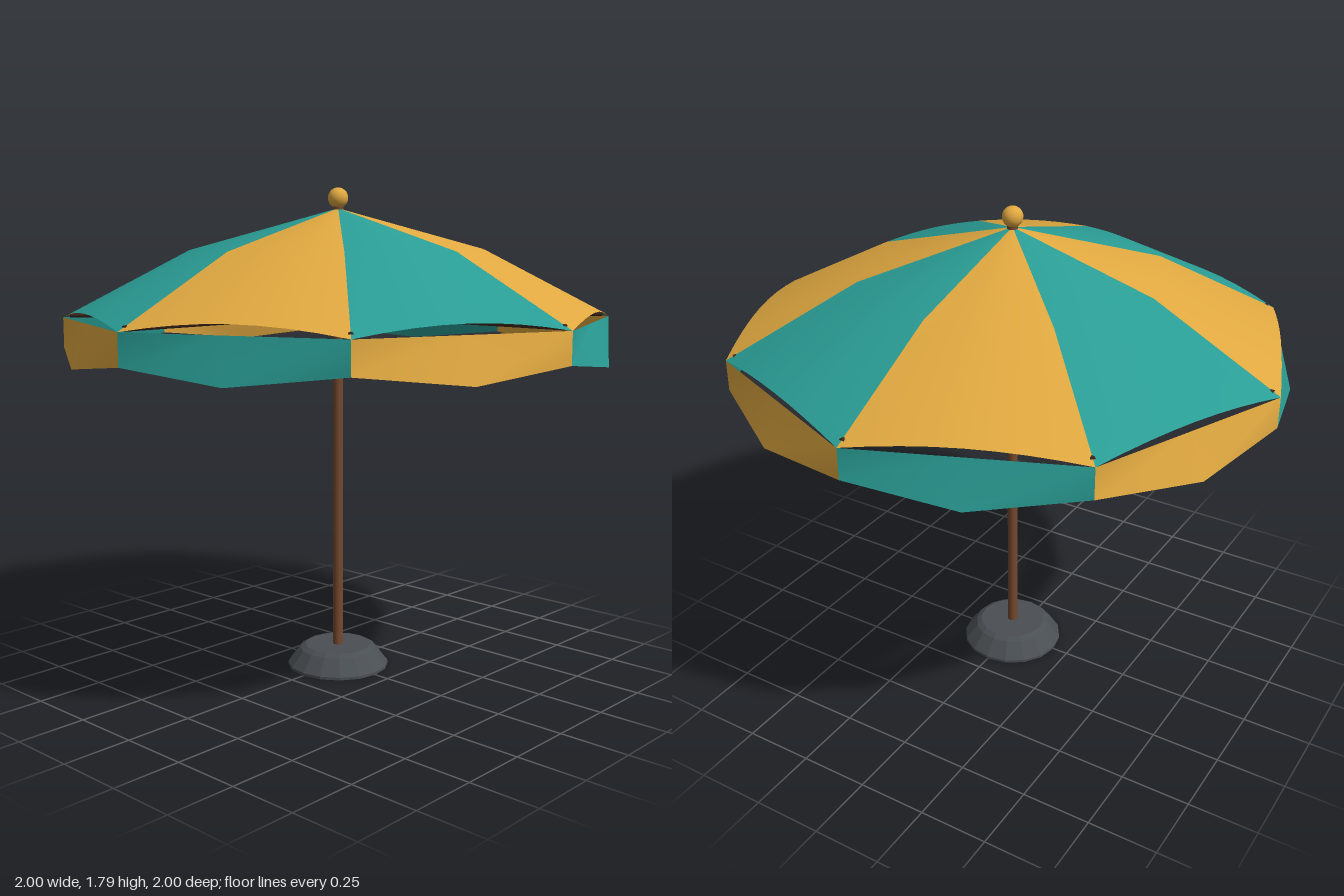
import * as THREE from 'three';

const SIDES = 8;
const STEP = (Math.PI * 2) / SIDES;

// Surface spanning one canopy sector: point(u, row) -> [radius, y], u runs 0..1 across the sector
function sectorGeometry(start, cols, rows, point) {
  const pos = [], index = [];
  for (let r = 0; r < rows; r++) {
    for (let c = 0; c <= cols; c++) {
      const u = c / cols;
      const a = start + u * STEP;
      const [radius, y] = point(u, r);
      pos.push(Math.sin(a) * radius, y, Math.cos(a) * radius);
    }
  }
  const w = cols + 1;
  for (let r = 0; r < rows - 1; r++) {
    for (let c = 0; c < cols; c++) {
      const a = r * w + c;
      index.push(a, a + w, a + 1, a + 1, a + w, a + w + 1);
    }
  }
  const geo = new THREE.BufferGeometry();
  geo.setAttribute('position', new THREE.Float32BufferAttribute(pos, 3));
  geo.setIndex(index);
  geo.computeVertexNormals();
  return geo;
}

// Radius factor that keeps a point on the straight line between two ribs
const chord = (u) => Math.cos(STEP / 2) / Math.cos((u - 0.5) * STEP);

export function createModel() {
  const group = new THREE.Group();
  const mat = (name, color, side = THREE.FrontSide) => {
    const m = new THREE.MeshStandardMaterial({ color, side });
    m.name = name;
    return m;
  };
  const yellow = mat('yellow fabric', 0xe0a840, THREE.DoubleSide);
  const teal = mat('teal fabric', 0x2a9d95, THREE.DoubleSide);
  const wood = mat('brown wood', 0x74492f);
  const darkWood = mat('dark rib wood', 0x432a1e);
  const iron = mat('grey base', 0x4a4f54);

  const add = (name, geo, material, y = 0) => {
    const mesh = new THREE.Mesh(geo, material);
    mesh.name = name;
    mesh.position.y = y;
    group.add(mesh);
    return mesh;
  };

  // Weighted foot
  const footProfile = [[0, 0], [0.19, 0], [0.19, 0.01], [0.145, 0.068], [0.125, 0.08], [0, 0.08]];
  const foot = new THREE.LatheGeometry(footProfile.map(([x, y]) => new THREE.Vector2(x, y)), 16);
  const flatFoot = foot.toNonIndexed();
  flatFoot.computeVertexNormals();
  add('base', flatFoot, iron);

  // Pole and finial ball
  add('pole', new THREE.CylinderGeometry(0.019, 0.019, 1.66, 16), wood, 0.9);
  add('finial', new THREE.SphereGeometry(0.037, 20, 14), yellow, 1.753);

  // Canopy rows: tip, bend, rim
  const rows = [[0.004, 1.715], [0.54, 1.566], [1, 1.325]];
  const lift = [0, 0.012, 0.035];
  const bulge = [0, 0.005, 0.01];

  for (let k = 0; k < SIDES; k++) {
    const start = k * STEP;

    // Fabric panel with an arched rim
    const panel = sectorGeometry(start, 8, 3, (u, r) => {
      const arch = 4 * u * (1 - u);
      return [rows[r][0] * chord(u) + bulge[r] * arch, rows[r][1] + lift[r] * arch];
    });
    add('canopyPanel', panel, k % 2 ? teal : yellow);

    // Hanging valance in the opposite colour, pointed at the middle
    const valance = sectorGeometry(start, 2, 2, (u, r) => {
      const middle = u === 0.5;
      if (r === 0) return [chord(u), 1.325];
      return middle ? [0.985, 1.175] : [1, 1.215];
    });
    add('valance', valance, k % 2 ? yellow : teal);

    // Horizontal rib reaching the rim
    const ribGeo = new THREE.CylinderGeometry(0.01, 0.01, 0.975, 8);
    ribGeo.rotateX(Math.PI / 2);
    ribGeo.translate(0, 0, 0.4875);
    add('rib', ribGeo, darkWood, 1.335).rotation.y = start;
  }
  return group;
}
